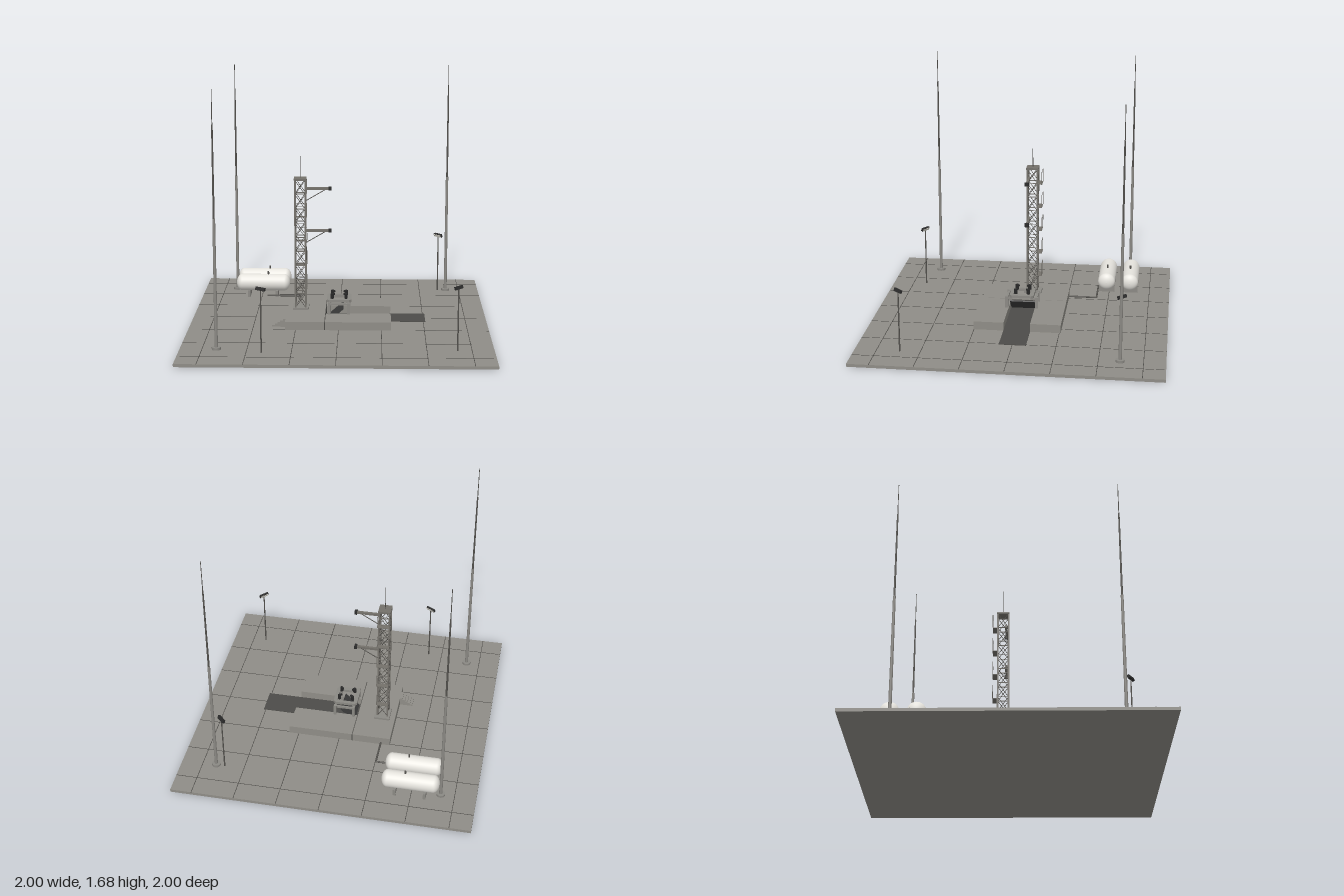
import * as THREE from 'three';

const mat = (name, color, side = THREE.FrontSide) => {
  const m = new THREE.MeshStandardMaterial({ color, side });
  m.name = name;
  return m;
};

export function createModel() {
  const concrete = mat('concrete', 0x8f8d87);
  const seamGrey = mat('seam grey', 0x4c4b48);
  const trenchGrey = mat('scorched trench', 0x4d4c49);
  const deflectorDark = mat('deflector dark', 0x3a3a3a);
  const steel = mat('tower steel', 0x74716b);
  const tableGrey = mat('table steel', 0x8b8984);
  const darkSteel = mat('dark steel', 0x55534f);
  const black = mat('black fittings', 0x2b2b2b);
  const white = mat('tank white', 0xe6e4de);
  const lens = mat('lamp lens', 0xdedcd2);

  const root = new THREE.Group();
  root.name = 'launchPad';
  const V = (x, y, z) => new THREE.Vector3(x, y, z);
  const group = (name, parent = root) => {
    const g = new THREE.Group();
    g.name = name;
    parent.add(g);
    return g;
  };
  const add = (parent, name, geo, m, x = 0, y = 0, z = 0) => {
    const mesh = new THREE.Mesh(geo, m);
    mesh.name = name;
    mesh.position.set(x, y, z);
    parent.add(mesh);
    return mesh;
  };
  // Box given by its minimum and maximum corners
  const block = (parent, name, m, x0, x1, y0, y1, z0, z1) =>
    add(parent, name, new THREE.BoxGeometry(x1 - x0, y1 - y0, z1 - z0), m,
      (x0 + x1) / 2, (y0 + y1) / 2, (z0 + z1) / 2);
  // Upright cylinder from y0 to y1
  const post = (parent, name, m, x, z, y0, y1, r0, r1 = r0, sides = 12) =>
    add(parent, name, new THREE.CylinderGeometry(r1, r0, y1 - y0, sides), m, x, (y0 + y1) / 2, z);
  // Round bar between two points
  const bar = (parent, name, m, a, b, r, sides = 6) => {
    const d = b.clone().sub(a);
    const mesh = add(parent, name, new THREE.CylinderGeometry(r, r, d.length(), sides), m);
    mesh.position.copy(a).add(b).multiplyScalar(0.5);
    mesh.quaternion.setFromUnitVectors(V(0, 1, 0), d.normalize());
    return mesh;
  };

  // Ground slab with expansion seams
  block(root, 'groundSlab', concrete, -1, 1, 0, 0.02, -1, 1);
  const seams = group('slabSeams');
  for (let k = -3; k <= 3; k++) {
    const p = k * 0.2857;
    block(seams, 'seamAlongZ', seamGrey, p - 0.002, p + 0.002, 0.019, 0.021, -1, 1);
    block(seams, 'seamAlongX', seamGrey, -1, 1, 0.019, 0.021, p - 0.002, p + 0.002);
  }

  // Raised deck around the flame trench
  const deck = group('deck');
  block(deck, 'deckRear', concrete, -0.355, -0.094, 0.02, 0.076, -0.295, 0.29);
  block(deck, 'deckWingBack', concrete, -0.089, 0.35, 0.02, 0.076, -0.295, -0.09);
  block(deck, 'deckWingFront', concrete, -0.089, 0.35, 0.02, 0.076, 0.088, 0.29);
  block(deck, 'deckJoint', seamGrey, -0.094, -0.089, 0.02, 0.07, -0.294, 0.289);
  block(root, 'trenchFloor', trenchGrey, -0.089, 0.585, 0.02, 0.024, -0.09, 0.088);
  const deflector = add(root, 'flameDeflector', new THREE.BoxGeometry(0.13, 0.008, 0.174),
    deflectorDark, -0.022, 0.064, -0.001);
  deflector.rotation.z = Math.atan2(0.085, 0.095);

  // Access stairs on the deck side
  const stairs = group('stairs');
  for (let i = 0; i < 5; i++) {
    const x = -0.445 + i * 0.018;
    block(stairs, 'step', concrete, x, x + 0.018, 0.02, 0.031 + i * 0.011, 0.147, 0.22);
  }

  // Launch table: open ring on two leg frames
  const table = group('launchTable');
  const ring = new THREE.Shape();
  const R = 0.083, c = 0.016;
  ring.setFromPoints([[-R + c, -R], [R - c, -R], [R, -R + c], [R, R - c], [R - c, R], [-R + c, R], [-R, R - c], [-R, -R + c]]
    .map(([x, y]) => new THREE.Vector2(x, y)));
  const h = 0.058;
  ring.holes.push(new THREE.Path([[-h, -h], [-h, h], [h, h], [h, -h]].map(([x, y]) => new THREE.Vector2(x, y))));
  const ringGeo = new THREE.ExtrudeGeometry(ring, { depth: 0.018, bevelEnabled: false });
  ringGeo.rotateX(-Math.PI / 2);
  add(table, 'tableRing', ringGeo, tableGrey, 0, 0.15, 0);
  for (const s of [-1, 1]) {
    block(table, 'sideBeam', tableGrey, -0.072, 0.072, 0.136, 0.15, s * 0.1 - 0.007, s * 0.1 + 0.007);
    for (const t of [-1, 1]) {
      const x = t * 0.065, z = s * 0.103;
      block(table, 'tableLeg', tableGrey, x - 0.009, x + 0.009, 0.076, 0.155, z - 0.01, z + 0.01);
      block(table, 'legBracket', tableGrey, x - 0.007, x + 0.007, 0.137, 0.15, Math.min(z, z - s * 0.04), Math.max(z, z - s * 0.04));
      // Hold-down clamps, turned towards the centre
      const clamp = group('holdDownClamp', table);
      clamp.position.set(t * 0.045, 0.168, s * 0.042);
      clamp.rotation.y = Math.atan2(-t, -s);
      block(clamp, 'clampBody', black, -0.008, 0.008, 0, 0.036, -0.01, 0.006);
      block(clamp, 'clampJaw', black, -0.006, 0.006, 0.024, 0.036, 0.004, 0.018);
    }
  }

  // Lattice service tower
  const tower = group('serviceTower');
  tower.position.set(-0.265, 0, -0.039);
  const w = 0.035, y0 = 0.09, bays = 9, bay = 0.0985;
  block(tower, 'towerBase', tableGrey, -0.053, 0.055, 0.076, 0.09, -0.066, 0.054);
  const corners = [[-w, -w], [w, -w], [w, w], [-w, w]];
  for (const [x, z] of corners)
    block(tower, 'towerLeg', steel, x - 0.005, x + 0.005, y0, y0 + bays * bay, z - 0.005, z + 0.005);
  for (let i = 0; i < bays; i++) {
    const a = y0 + i * bay, b = a + bay;
    corners.forEach(([x, z], k) => {
      const [u, v] = corners[(k + 1) % 4];
      bar(tower, 'towerRail', steel, V(x, b, z), V(u, b, v), 0.003);
      bar(tower, 'crossBrace', darkSteel, V(x, a, z), V(u, b, v), 0.002);
      bar(tower, 'crossBrace', darkSteel, V(x, b, z), V(u, a, v), 0.002);
    });
  }
  block(tower, 'towerRoof', steel, -0.042, 0.042, 0.975, 0.988, -0.042, 0.042);
  post(tower, 'towerRod', darkSteel, 0, 0, 0.985, 1.16, 0.0022, 0.0015, 6);

  // Small landings with handrails behind the tower
  for (let i = 0; i < 5; i++) {
    const y = 0.206 + i * 0.167;
    block(tower, 'landing', steel, -0.042, 0.042, y - 0.002, y + 0.002, -0.068, -0.035);
    bar(tower, 'handrail', steel, V(-0.042, y + 0.09, -0.067), V(0.042, y + 0.09, -0.067), 0.0018);
    for (const x of [-0.041, 0.041])
      post(tower, 'railPost', steel, x, -0.067, y, y + 0.09, 0.0018, 0.0018, 6);
  }

  // Swing arms with diagonal struts
  for (const y of [0.918, 0.628]) {
    const arm = group('swingArm', tower);
    arm.position.set(0, y, 0.02);
    block(arm, 'armBeam', steel, 0.03, 0.205, -0.008, 0.008, -0.008, 0.008);
    block(arm, 'armHead', black, 0.192, 0.21, -0.012, 0.012, -0.014, 0.014);
    bar(arm, 'armStrut', darkSteel, V(0.037, -0.085, 0), V(0.175, -0.004, 0), 0.003);
  }

  // Storage tanks on saddles
  const profile = [];
  for (let i = 0; i <= 8; i++) {
    const a = (i / 8) * Math.PI / 2;
    profile.push(new THREE.Vector2(0.06 * Math.sin(a), -0.153 - 0.04 * Math.cos(a)));
  }
  const tankGeo = new THREE.LatheGeometry([...profile, ...profile.map(p => new THREE.Vector2(p.x, -p.y)).reverse()], 32);
  tankGeo.rotateZ(Math.PI / 2);
  for (const z of [-0.553, -0.717]) {
    const tank = group('storageTank');
    tank.position.set(-0.563, 0, z);
    add(tank, 'tankShell', tankGeo, white, 0, 0.116, 0);
    post(tank, 'tankValve', darkSteel, 0.036, 0, 0.17, 0.197, 0.006);
    for (const x of [-0.1, 0.1])
      block(tank, 'tankSaddle', tableGrey, x - 0.009, x + 0.009, 0.02, 0.066, -0.056, 0.056);
  }

  // Feed pipe from the tanks to the deck
  const pipe = group('feedPipe');
  bar(pipe, 'pipeRun', darkSteel, V(-0.53, 0.034, -0.49), V(-0.293, 0.034, -0.49), 0.006, 10);
  bar(pipe, 'pipeRun', darkSteel, V(-0.293, 0.034, -0.49), V(-0.293, 0.034, -0.29), 0.006, 10);
  add(pipe, 'pipeElbow', new THREE.SphereGeometry(0.006, 10, 8), darkSteel, -0.293, 0.034, -0.49);

  // Stepped lightning masts
  for (const [x, z] of [[-0.765, 0.707], [-0.765, -0.709], [0.763, -0.709]]) {
    const mast = group('lightningMast');
    post(mast, 'mastFoot', tableGrey, x, z, 0.02, 0.036, 0.029, 0.029, 20);
    post(mast, 'mastLower', tableGrey, x, z, 0.036, 0.87, 0.011, 0.009);
    post(mast, 'mastMiddle', darkSteel, x, z, 0.87, 1.46, 0.0065, 0.005);
    post(mast, 'mastTip', darkSteel, x, z, 1.46, 1.68, 0.003, 0.002, 8);
  }

  // Floodlights aimed at the pad centre
  for (const [x, z] of [[-0.475, 0.765], [0.765, 0.705], [0.705, -0.71]]) {
    const lamp = group('floodlight');
    lamp.position.set(x, 0, z);
    lamp.rotation.y = Math.atan2(-x, -z);
    post(lamp, 'lampPole', darkSteel, 0, 0, 0.02, 0.43, 0.005, 0.004, 8);
    const head = group('lampHead', lamp);
    head.position.y = 0.435;
    head.rotation.x = 0.4;
    block(head, 'lampHousing', black, -0.034, 0.034, -0.011, 0.011, -0.008, 0.008);
    block(head, 'lampLens', lens, -0.031, 0.031, -0.009, 0.009, 0.008, 0.01);
  }

  return root;
}
